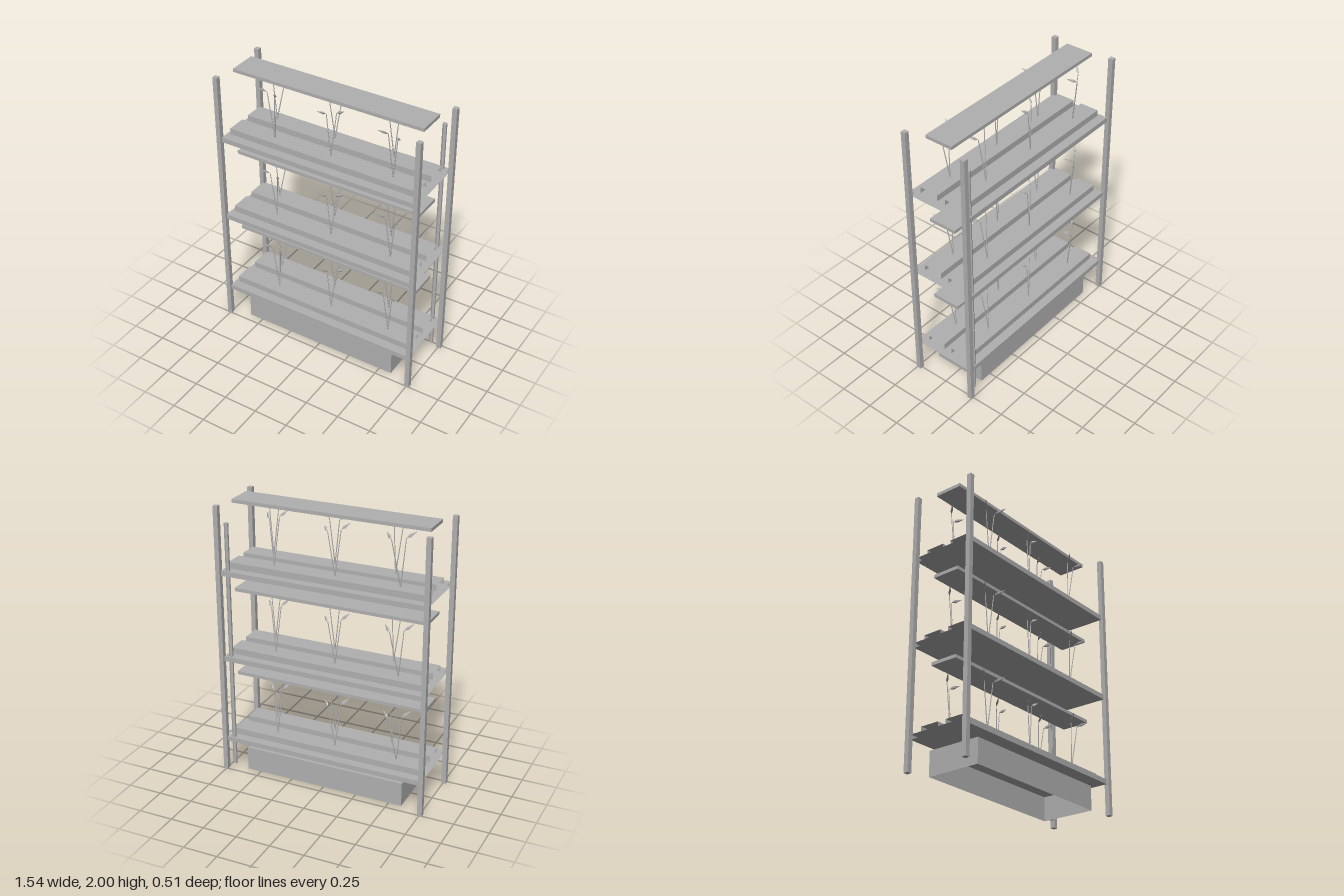
import * as THREE from 'three';

const grey = new THREE.MeshStandardMaterial({ color: 0xb0b0b0, side: THREE.DoubleSide, flatShading: true });
grey.name = 'plain grey';

function add(parent, name, geometry, x = 0, y = 0, z = 0) {
  const mesh = new THREE.Mesh(geometry, grey);
  mesh.name = name;
  mesh.position.set(x, y, z);
  parent.add(mesh);
  return mesh;
}

// Box with some faces left open; faces are 0..5 = +x -x +y -y +z -z
function openBox(w, h, d, open) {
  const g = new THREE.BoxGeometry(w, h, d);
  const index = Array.from(g.index.array).filter((_, i) => !open.includes(Math.floor(i / 6)));
  g.setIndex(index);
  g.clearGroups();
  return g;
}

// Thin tapered piece running from a to b
function rod(parent, name, a, b, geometryFor) {
  const dir = b.clone().sub(a);
  const mid = a.clone().add(b).multiplyScalar(0.5);
  const mesh = add(parent, name, geometryFor(dir.length()), mid.x, mid.y, mid.z);
  mesh.quaternion.setFromUnitVectors(new THREE.Vector3(0, 1, 0), dir.normalize());
}

const stemGeometry = (len) => new THREE.CylinderGeometry(0.003, 0.004, len, 5);
const leafGeometry = (len) => new THREE.LatheGeometry([
  new THREE.Vector2(0, -len / 2),
  new THREE.Vector2(0.012, -len * 0.12),
  new THREE.Vector2(0.002, len / 2),
  new THREE.Vector2(0, len / 2),
], 4).scale(1, 1, 0.7);

// Root [x, z], then for each stem: its top and its leaf tip, heights above the channel
const plants = [
  { root: [-0.395, 0.103], stems: [[[-0.44, 0.335, 0.11], [-0.497, 0.38, 0.155]], [[-0.37, 0.335, 0.125], [-0.322, 0.377, 0.187]]] },
  { root: [0.045, 0.103], stems: [[[0.015, 0.31, 0.11], [-0.022, 0.342, 0.158]], [[0.08, 0.325, 0.09], [0.14, 0.362, 0.1]]] },
  { root: [0.51, 0.103], stems: [[[0.48, 0.325, 0.13], [0.435, 0.367, 0.187]], [[0.55, 0.317, 0.13], [0.597, 0.345, 0.187]]] },
  { root: [-0.515, -0.103], stems: [[[-0.55, 0.337, -0.11], [-0.6, 0.372, -0.06]], [[-0.47, 0.335, -0.163], [-0.42, 0.36, -0.115]]] },
  { root: [-0.05, -0.103], stems: [[[-0.085, 0.317, -0.08], [-0.125, 0.352, -0.03]], [[-0.005, 0.307, -0.118], [0.03, 0.332, -0.09]]] },
  { root: [0.4, -0.103], stems: [[[0.37, 0.337, -0.07], [0.333, 0.372, -0.015]], [[0.44, 0.32, -0.08], [0.482, 0.345, -0.03]]] },
];

function createPlant({ root, stems }) {
  const plant = new THREE.Group();
  plant.name = 'plant';
  const base = new THREE.Vector3(root[0], 0, root[1]);
  for (const [top, tip] of stems) {
    const a = new THREE.Vector3(...top), b = new THREE.Vector3(...tip);
    rod(plant, 'stem', base, a, stemGeometry);
    rod(plant, 'leaf', a, b, leafGeometry);
  }
  return plant;
}

// One level: hollow shelf, two growing channels, plants and a lamp panel above
function createTier() {
  const tier = new THREE.Group();
  tier.name = 'tier';
  add(tier, 'shelf', openBox(1.474, 0.036, 0.474, [0, 1]), 0, 0.242, 0);
  for (const z of [0.102, -0.102]) {
    add(tier, 'growingChannel', openBox(1.424, 0.045, 0.14, [0, 1, 3]), 0, 0.2825, z);
  }
  add(tier, 'lampPanel', new THREE.BoxGeometry(1.424, 0.024, 0.206), 0, 0.716, 0);
  for (const p of plants) {
    const plant = createPlant(p);
    plant.position.y = 0.305;
    tier.add(plant);
  }
  return tier;
}

export function createModel() {
  const model = new THREE.Group();
  model.name = 'plantRack';

  // Corner posts
  for (const x of [-0.7535, 0.7535]) {
    for (const z of [-0.236, 0.236]) {
      add(model, 'post', new THREE.BoxGeometry(0.034, 1.99, 0.034), x, 0.995, z);
    }
  }

  // Planted levels
  for (let i = 0; i < 3; i++) {
    const tier = createTier();
    tier.position.y = i * 0.636;
    model.add(tier);
  }

  // Water tank, open underneath, with its cap and the riser pipe
  add(model, 'waterTank', openBox(1.196, 0.175, 0.398, [3]), 0, 0.0955, 0);
  add(model, 'tankCap', new THREE.CylinderGeometry(0.0465, 0.0465, 0.02, 6), 0.2355, 0.1935, 0.083);
  add(model, 'riserPipe', new THREE.CylinderGeometry(0.0155, 0.0155, 1.825, 6), 0.695, 0.9575, -0.214);

  return model;
}
